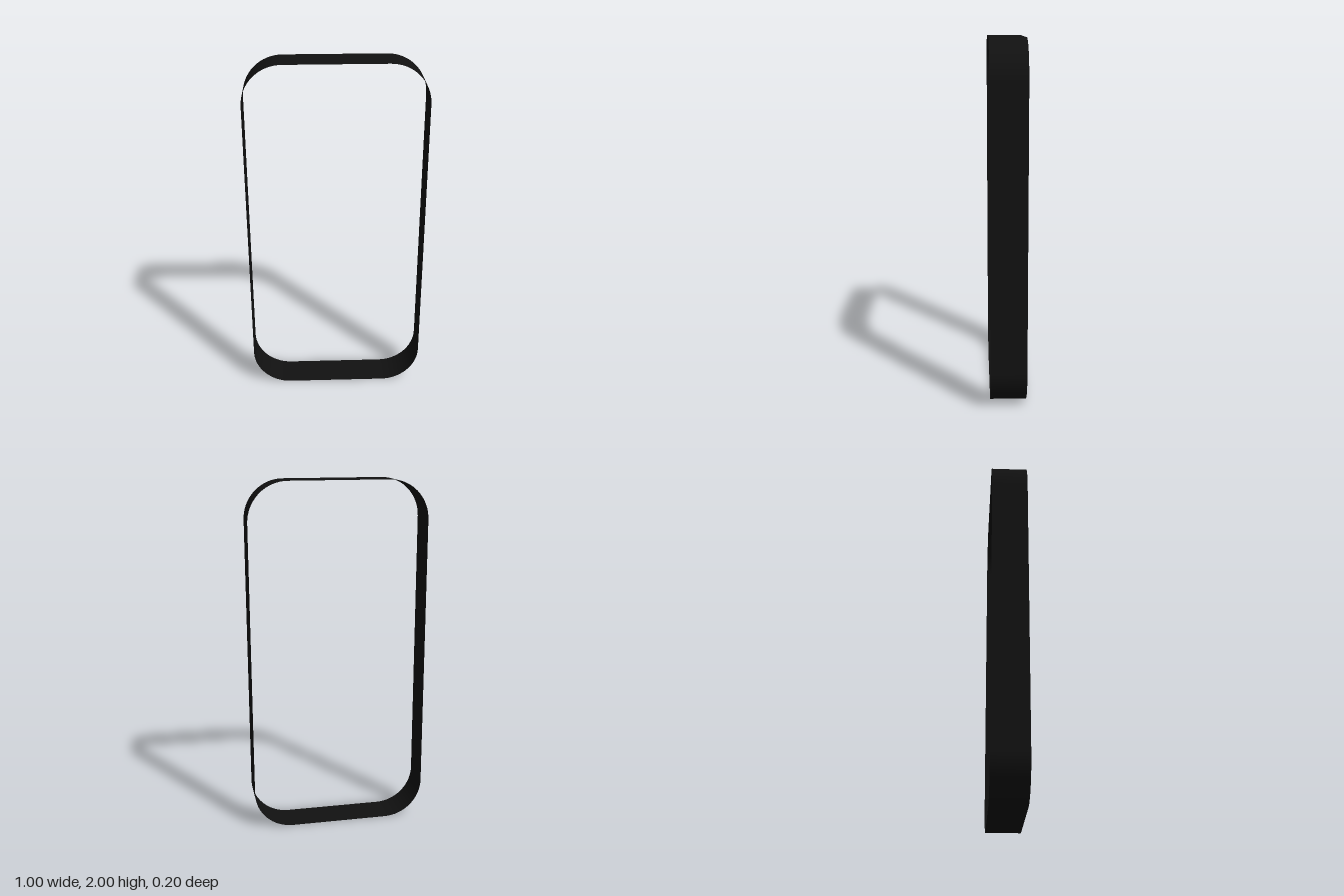
import * as THREE from 'three';

const WIDTH = 1, HEIGHT = 2, DEPTH = 0.2, RADIUS = 0.22, STEPS = 16;

// Open band that follows a rounded rectangle, with smooth outward normals
function roundedBand(width, height, depth, radius, steps) {
  const positions = [], normals = [], index = [];
  const cx = width / 2 - radius, cy = height / 2 - radius;
  const corners = [[cx, cy], [-cx, cy], [-cx, -cy], [cx, -cy]];
  corners.forEach(([x, y], corner) => {
    for (let i = 0; i <= steps; i++) {
      const angle = (corner + i / steps) * Math.PI / 2;
      const nx = Math.cos(angle), ny = Math.sin(angle);
      for (const z of [depth / 2, -depth / 2]) {
        positions.push(x + radius * nx, y + radius * ny, z);
        normals.push(nx, ny, 0);
      }
    }
  });
  const count = positions.length / 6;
  for (let i = 0; i < count; i++) {
    const a = 2 * i, c = 2 * ((i + 1) % count);
    index.push(a, a + 1, c + 1, a, c + 1, c);
  }
  const geometry = new THREE.BufferGeometry();
  geometry.setAttribute('position', new THREE.Float32BufferAttribute(positions, 3));
  geometry.setAttribute('normal', new THREE.Float32BufferAttribute(normals, 3));
  geometry.setIndex(index);
  return geometry;
}

export function createModel() {
  const group = new THREE.Group();
  group.name = 'roundedFrame';

  // Thin dark frame, open at front and back
  const material = new THREE.MeshStandardMaterial({ color: 0x111111, side: THREE.DoubleSide });
  const band = new THREE.Mesh(roundedBand(WIDTH, HEIGHT, DEPTH, RADIUS, STEPS), material);
  band.name = 'frameBand';
  band.position.y = HEIGHT / 2;
  group.add(band);

  return group;
}
